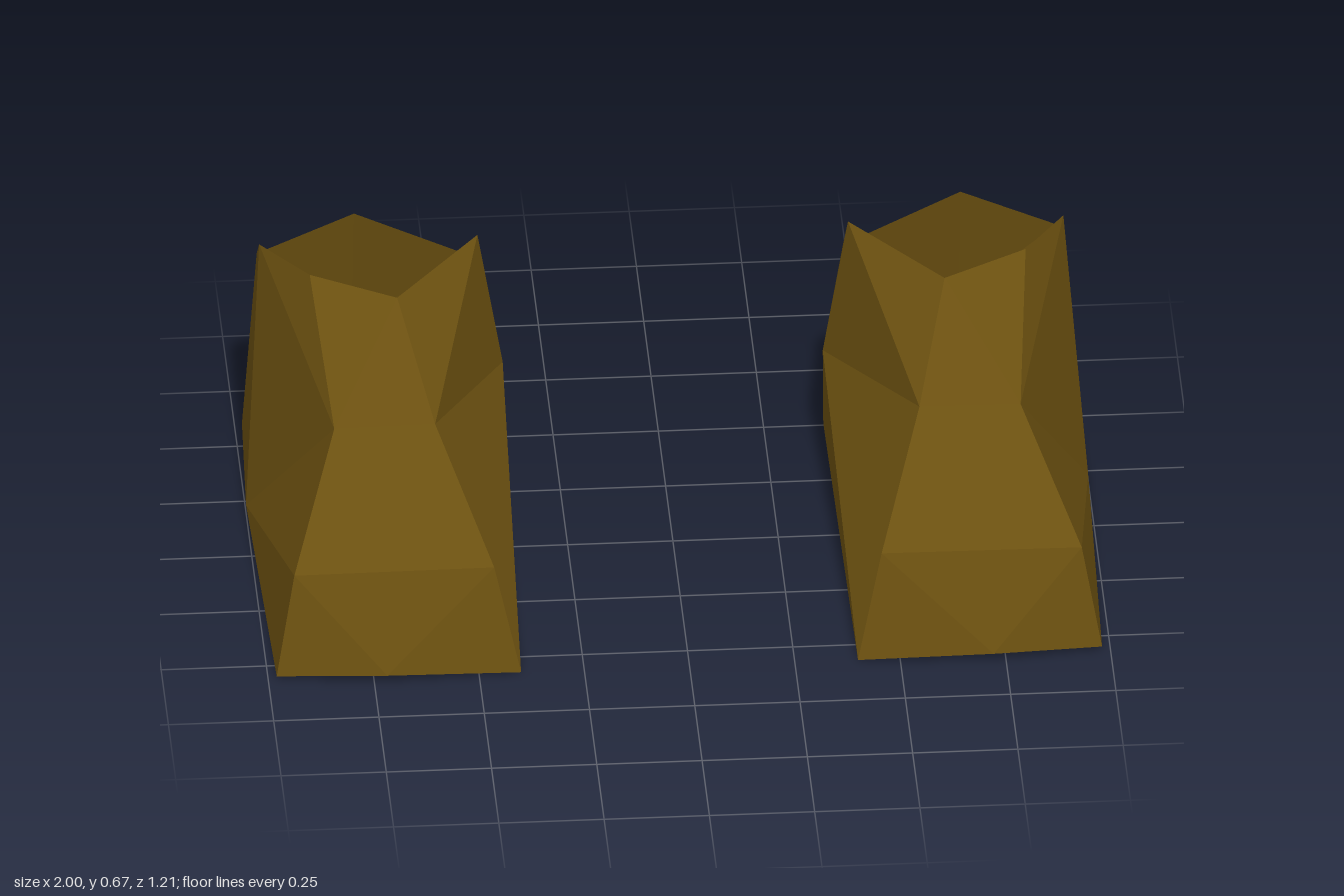
import * as THREE from 'three';

// Corner points of the left boot, grouped by part
const P = {
  // sole outline
  soleFrontIn: [0.40, 0, 0.57], soleTip: [0.72, 0.025, 0.605], soleFrontOut: [0.98, 0.01, 0.565],
  soleSideOut: [1.0, 0.02, -0.2], soleBackOut: [0.985, 0.03, -0.555], soleBackIn: [0.39, 0.02, -0.475],
  // toe and instep
  toeIn: [0.46, 0.26, 0.515], toeOut: [0.935, 0.26, 0.52],
  instepIn: [0.575, 0.44, 0.15], instepOut: [0.815, 0.44, 0.155],
  // ankle and heel bulges
  ankle: [0.38, 0.3, -0.35], heel: [0.72, 0.28, -0.605],
  // rim of the opening
  rimFront: [0.65, 0.66, -0.07], rimFrontOut: [0.85, 0.665, -0.18], rimOut: [0.955, 0.62, -0.4],
  rimBackOut: [0.95, 0.5, -0.555], rimBack: [0.72, 0.61, -0.54],
  rimBackIn: [0.435, 0.53, -0.45], rimIn: [0.44, 0.655, -0.35],
};

// Triangles of each panel, counter-clockwise from outside
const PANELS = {
  sole: [
    'soleFrontIn soleBackIn soleTip', 'soleTip soleBackIn soleSideOut',
    'soleTip soleSideOut soleFrontOut', 'soleSideOut soleBackIn soleBackOut',
  ],
  toeCap: [
    'soleFrontIn soleTip toeIn', 'soleTip toeOut toeIn', 'soleTip soleFrontOut toeOut',
  ],
  instep: [
    'toeIn toeOut instepOut', 'toeIn instepOut instepIn',
    'instepIn instepOut rimFront', 'instepOut rimFrontOut rimFront',
  ],
  outerSide: [
    'soleFrontOut soleSideOut toeOut', 'soleSideOut instepOut toeOut', 'soleSideOut rimOut instepOut',
    'instepOut rimOut rimFrontOut', 'soleSideOut soleBackOut rimBackOut', 'soleSideOut rimBackOut rimOut',
  ],
  innerSide: [
    'soleFrontIn toeIn instepIn', 'soleFrontIn instepIn ankle', 'soleFrontIn ankle soleBackIn',
    'ankle instepIn rimIn', 'instepIn rimFront rimIn', 'ankle rimIn rimBackIn', 'soleBackIn ankle rimBackIn',
  ],
  heelPanel: [
    'soleBackOut soleBackIn heel', 'soleBackIn rimBackIn heel', 'rimBackIn rimBack heel',
    'rimBack rimBackOut heel', 'rimBackOut soleBackOut heel',
  ],
};

function panelGeometry(triangles) {
  const corners = triangles.flatMap((t) => t.split(' ').flatMap((name) => P[name]));
  const geometry = new THREE.BufferGeometry();
  geometry.setAttribute('position', new THREE.Float32BufferAttribute(corners, 3));
  geometry.computeVertexNormals();
  return geometry;
}

export function createModel() {
  const model = new THREE.Group();
  model.name = 'boots';
  // hollow, open-topped shell
  const leather = new THREE.MeshStandardMaterial({ color: 0x6b5010, flatShading: true, side: THREE.DoubleSide });

  const leftBoot = new THREE.Group();
  leftBoot.name = 'leftBoot';
  for (const [name, triangles] of Object.entries(PANELS)) {
    const mesh = new THREE.Mesh(panelGeometry(triangles), leather);
    mesh.name = name;
    leftBoot.add(mesh);
  }

  // mirrored partner
  const rightBoot = leftBoot.clone();
  rightBoot.name = 'rightBoot';
  rightBoot.scale.x = -1;

  model.add(leftBoot, rightBoot);
  return model;
}
